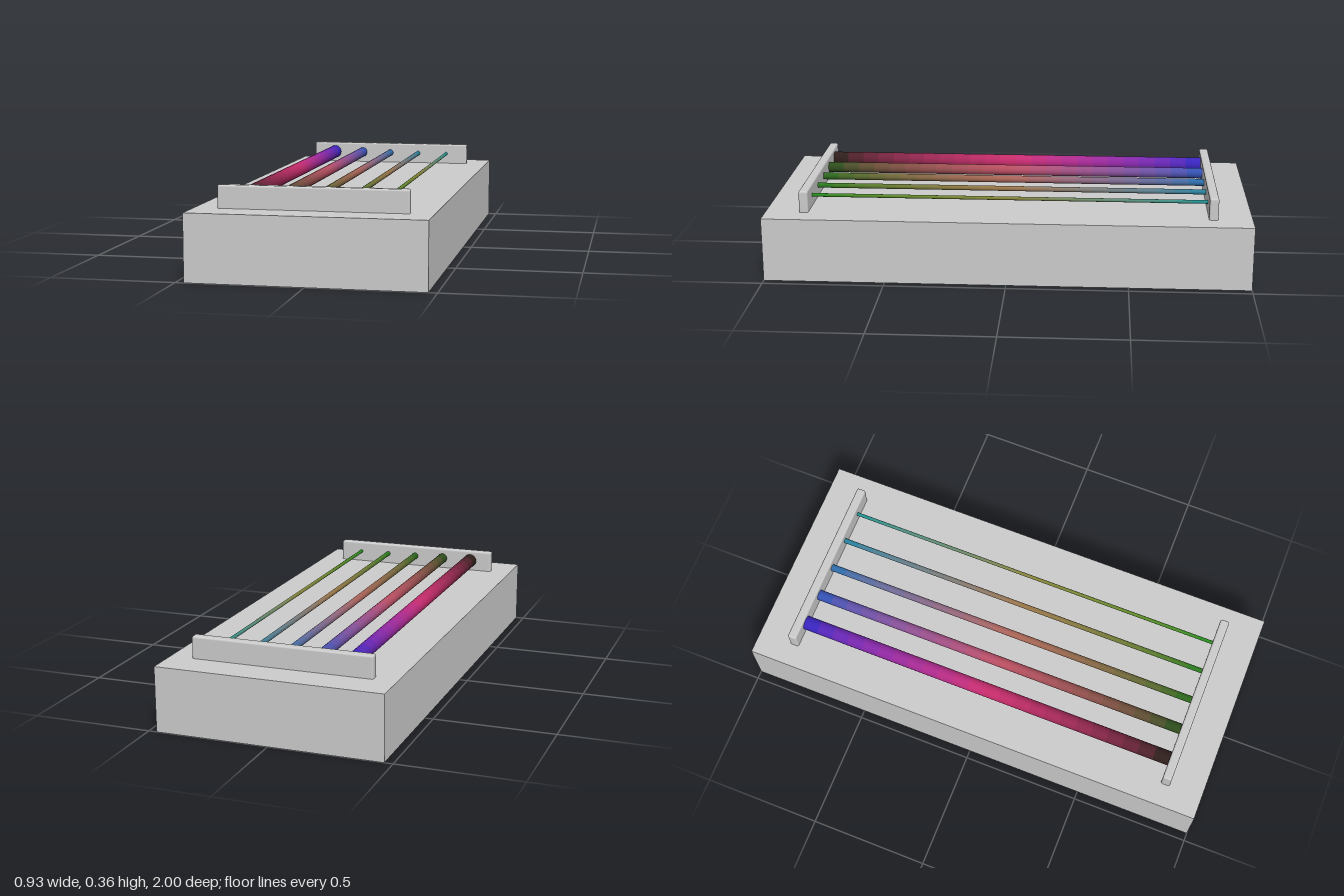
import * as THREE from 'three';
import { RoundedBoxGeometry } from 'three/addons/geometries/RoundedBoxGeometry.js';

const BASE_TOP = 0.267;
const STRING_Y = 0.313;
const STRING_HALF = 0.825;
const SEGMENTS = 24;

// Colours at the back, middle and front: [thickest string, thinnest string]
const STOPS = [
  [0x2424c0, 0x129090],
  [0xc82c6c, 0x868238],
  [0x101e10, 0x1c8a1c],
].map((pair) => pair.map((hex) => new THREE.Color(hex)));

// Blend across the strings (u) and along their length (v, back to front)
function stringColor(u, v) {
  const [back, middle, front] = STOPS.map(([a, b]) => a.clone().lerp(b, u));
  return v < 0.5 ? back.lerp(middle, v * 2) : middle.lerp(front, v * 2 - 1);
}

// One string as a run of short tubes that shift in colour
function createString(radius, u) {
  const string = new THREE.Group();
  const length = (2 * STRING_HALF) / SEGMENTS;
  const geometry = new THREE.CylinderGeometry(radius, radius, length, 20, 1, true);
  geometry.rotateX(Math.PI / 2);
  for (let i = 0; i < SEGMENTS; i++) {
    const v = (i + 0.5) / SEGMENTS;
    const material = new THREE.MeshStandardMaterial({ color: stringColor(u, v) });
    const segment = new THREE.Mesh(geometry, material);
    segment.name = 'stringSegment';
    segment.position.z = (2 * v - 1) * STRING_HALF;
    string.add(segment);
  }
  return string;
}

export function createModel() {
  const model = new THREE.Group();
  model.name = 'stringBoard';
  const grey = new THREE.MeshStandardMaterial({ color: 0xcccccc });

  // Solid base block
  const base = new THREE.Mesh(new THREE.BoxGeometry(0.932, BASE_TOP, 2), grey);
  base.name = 'base';
  base.position.y = BASE_TOP / 2;
  model.add(base);

  // Rounded bars holding the string ends, sunk slightly into the base
  const barTop = 0.358;
  const barBottom = BASE_TOP - 0.01;
  const barGeometry = new RoundedBoxGeometry(0.746, barTop - barBottom, 0.038, 3, 0.008);
  for (const side of [1, -1]) {
    const bar = new THREE.Mesh(barGeometry, grey);
    bar.name = side > 0 ? 'frontBar' : 'backBar';
    bar.position.set(0, (barTop + barBottom) / 2, side * 0.841);
    model.add(bar);
  }

  // Five strings, thick to thin from right to left
  [0.03, 0.0225, 0.015, 0.0105, 0.0075].forEach((radius, i) => {
    const string = createString(radius, i / 4);
    string.name = `string${i + 1}`;
    string.position.set((i - 2) * 0.137, STRING_Y, 0);
    model.add(string);
  });

  return model;
}
